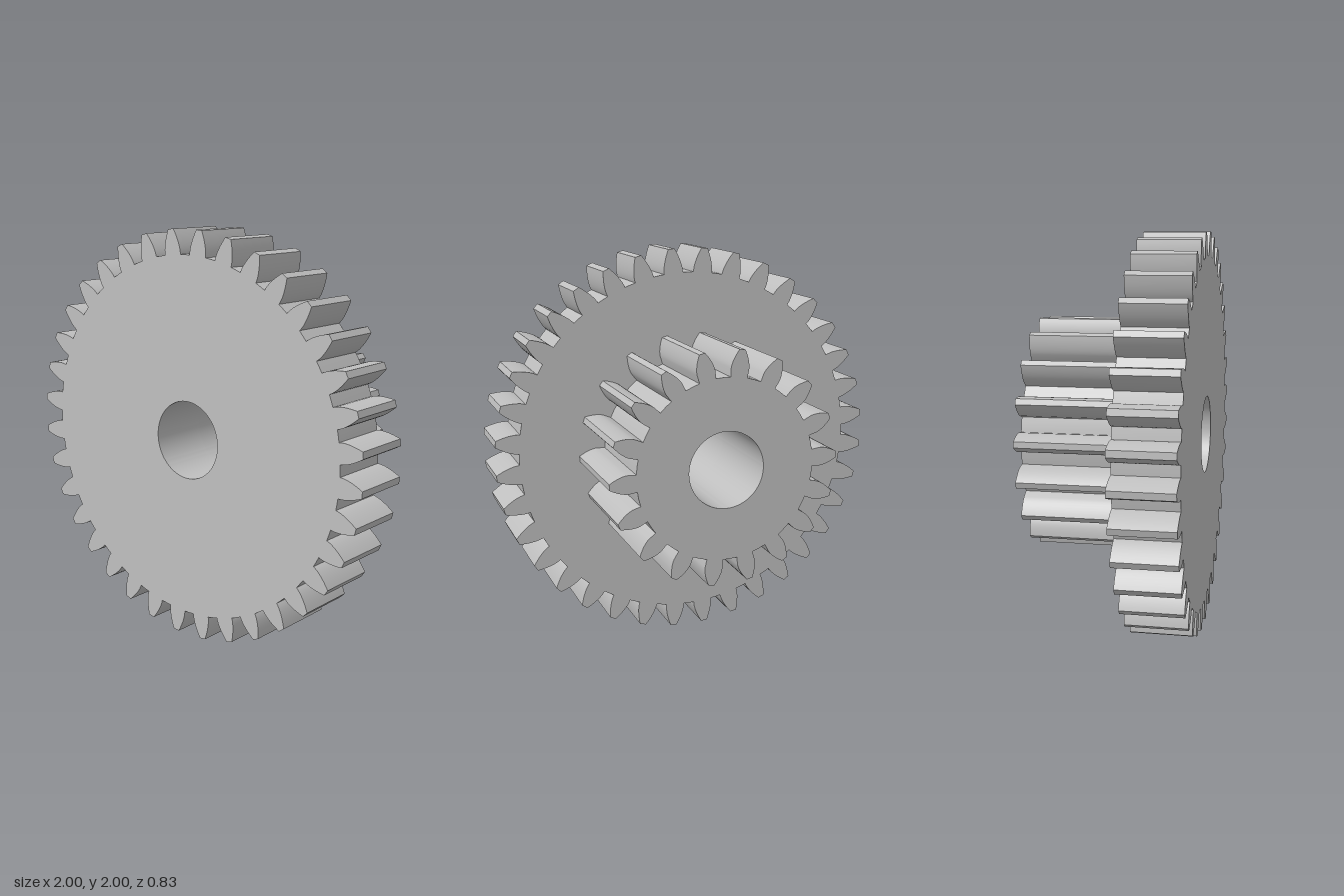
import * as THREE from 'three';
import { toCreasedNormals } from 'three/addons/utils/BufferGeometryUtils.js';

const DEG = Math.PI / 180;
const BORE = 0.19;
const involute = (a) => Math.tan(a) - a;

// Spur gear outline with involute flanks and a round bore, extruded from z0 to z1
function gearGeometry({ teeth, tip, phase, backlash, z0, z1 }) {
  const module = (2 * tip) / (teeth + 2);
  const pitch = (module * teeth) / 2;
  const root = pitch - 1.25 * module;
  const pressure = 20 * DEG;
  const base = pitch * Math.cos(pressure);

  // Half the tooth's angular width at radius r
  const halfWidth = (r) => Math.PI / (2 * teeth) - backlash * DEG + involute(pressure)
    - involute(Math.acos(Math.min(1, base / r)));

  const flank = [[root, halfWidth(base)]];
  const steps = 7;
  for (let i = 0; i <= steps; i++) {
    const r = base + ((tip - base) * i) / steps;
    flank.push([r, halfWidth(r)]);
  }

  const points = [];
  const add = (r, a) => points.push(new THREE.Vector2(r * Math.cos(a), r * Math.sin(a)));
  const step = (2 * Math.PI) / teeth;
  for (let k = 0; k < teeth; k++) {
    const centre = phase * DEG + k * step;
    flank.forEach(([r, h]) => add(r, centre - h));
    [...flank].reverse().forEach(([r, h]) => add(r, centre + h));
    add(root, centre + step / 2); // middle of the root land
  }

  const shape = new THREE.Shape(points);
  shape.holes.push(new THREE.Path().absarc(0, 0, BORE, 0, 2 * Math.PI, true));
  const geometry = new THREE.ExtrudeGeometry(shape, {
    depth: z1 - z0, bevelEnabled: false, curveSegments: 64,
  });
  geometry.translate(0, 1, z0);
  return toCreasedNormals(geometry, 25 * DEG);
}

export function createModel() {
  const group = new THREE.Group();
  group.name = 'doubleGear';

  const grey = new THREE.MeshStandardMaterial({ color: 0xbfbfbf });
  grey.name = 'grey';

  // Wide front wheel and the longer small pinion behind it
  const parts = {
    largeGear: { teeth: 36, tip: 1.002, phase: 5, backlash: 0.2, z0: 0.11, z1: 0.415 },
    pinion: { teeth: 18, tip: 0.58, phase: 17.5, backlash: 0.5, z0: -0.415, z1: 0.11 },
  };
  for (const [name, spec] of Object.entries(parts)) {
    const mesh = new THREE.Mesh(gearGeometry(spec), grey);
    mesh.name = name;
    group.add(mesh);
  }
  return group;
}
